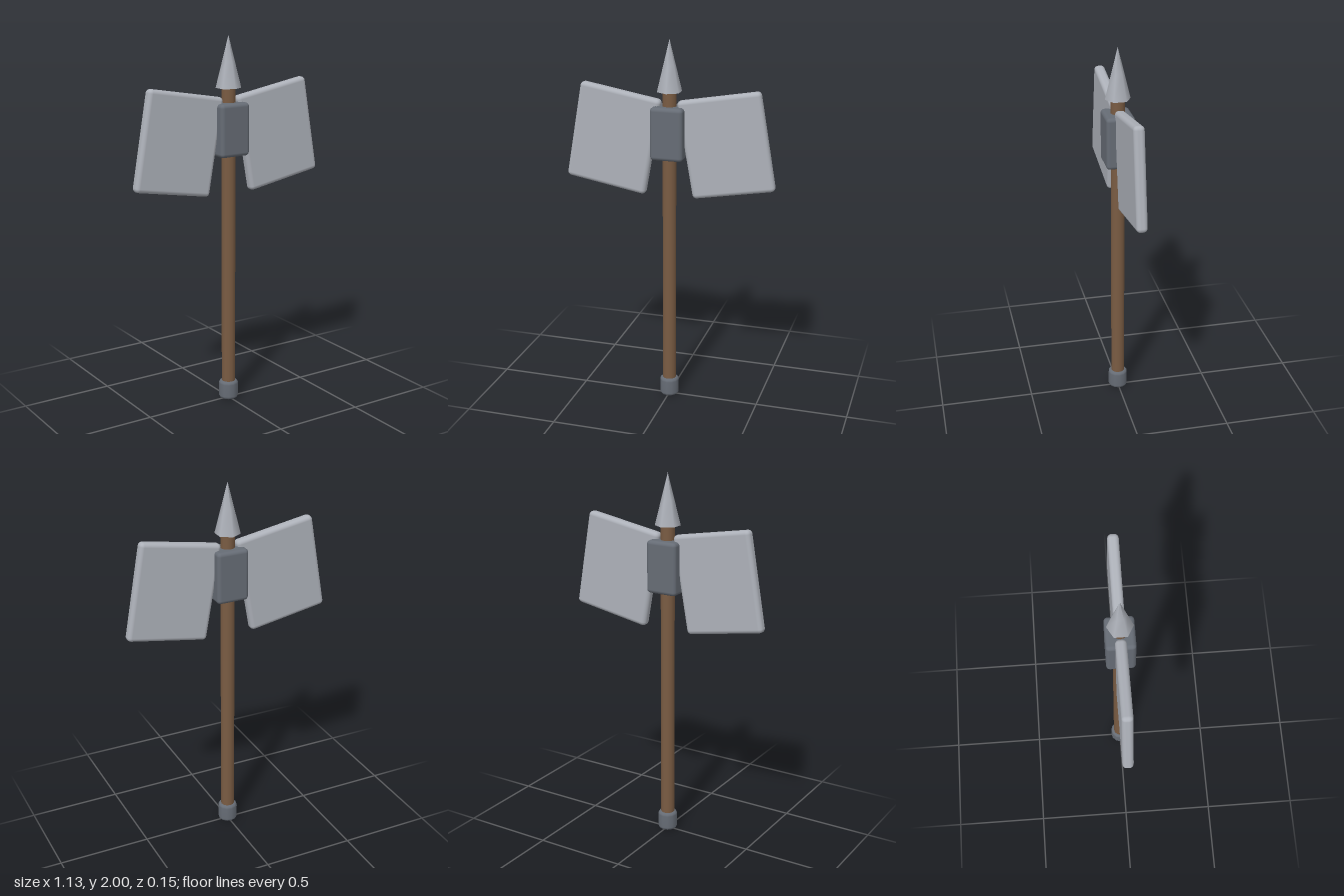
import * as THREE from 'three';
import { RoundedBoxGeometry } from 'three/addons/geometries/RoundedBoxGeometry.js';

const material = (name, color) => {
  const m = new THREE.MeshStandardMaterial({ color });
  m.name = name;
  return m;
};

export function createModel() {
  const steel = material('steel', 0xadb1b9);
  const iron = material('dark iron', 0x666c75);
  const wood = material('wood', 0x7a5c43);

  const group = new THREE.Group();
  group.name = 'doubleAxe';
  const add = (name, geometry, mat, x, y) => {
    const mesh = new THREE.Mesh(geometry, mat);
    mesh.name = name;
    mesh.position.set(x, y, 0);
    group.add(mesh);
    return mesh;
  };

  // Round wooden shaft
  add('shaft', new THREE.CylinderGeometry(0.037, 0.037, 1.7, 12), wood, 0, 0.9);

  // Pommel with rounded rims
  const R = 0.053, H = 0.103, b = 0.017;
  const profile = [new THREE.Vector2(0, 0)];
  for (let i = 0; i <= 3; i++) {
    const a = (i / 3) * Math.PI / 2;
    profile.push(new THREE.Vector2(R - b + b * Math.sin(a), b - b * Math.cos(a)));
  }
  for (let i = 0; i <= 3; i++) {
    const a = (i / 3) * Math.PI / 2;
    profile.push(new THREE.Vector2(R - b + b * Math.cos(a), H - b + b * Math.sin(a)));
  }
  profile.push(new THREE.Vector2(0, H));
  add('pommel', new THREE.LatheGeometry(profile, 12), iron, 0, 0);

  // Collar that holds the blades
  add('collar', new RoundedBoxGeometry(0.176, 0.28, 0.15, 3, 0.02), iron, 0, 1.513);

  // Mirrored blades, tilted up towards the outside
  for (const side of [1, -1]) {
    const blade = add(side > 0 ? 'leftBlade' : 'rightBlade',
      new RoundedBoxGeometry(0.445, 0.525, 0.057, 3, 0.022), steel, side * 0.306, 1.462);
    blade.rotation.z = side * THREE.MathUtils.degToRad(10);
  }

  // Six-sided top spike
  add('spike', new THREE.ConeGeometry(0.067, 0.272, 6, 2), steel, 0, 1.864);

  return group;
}
